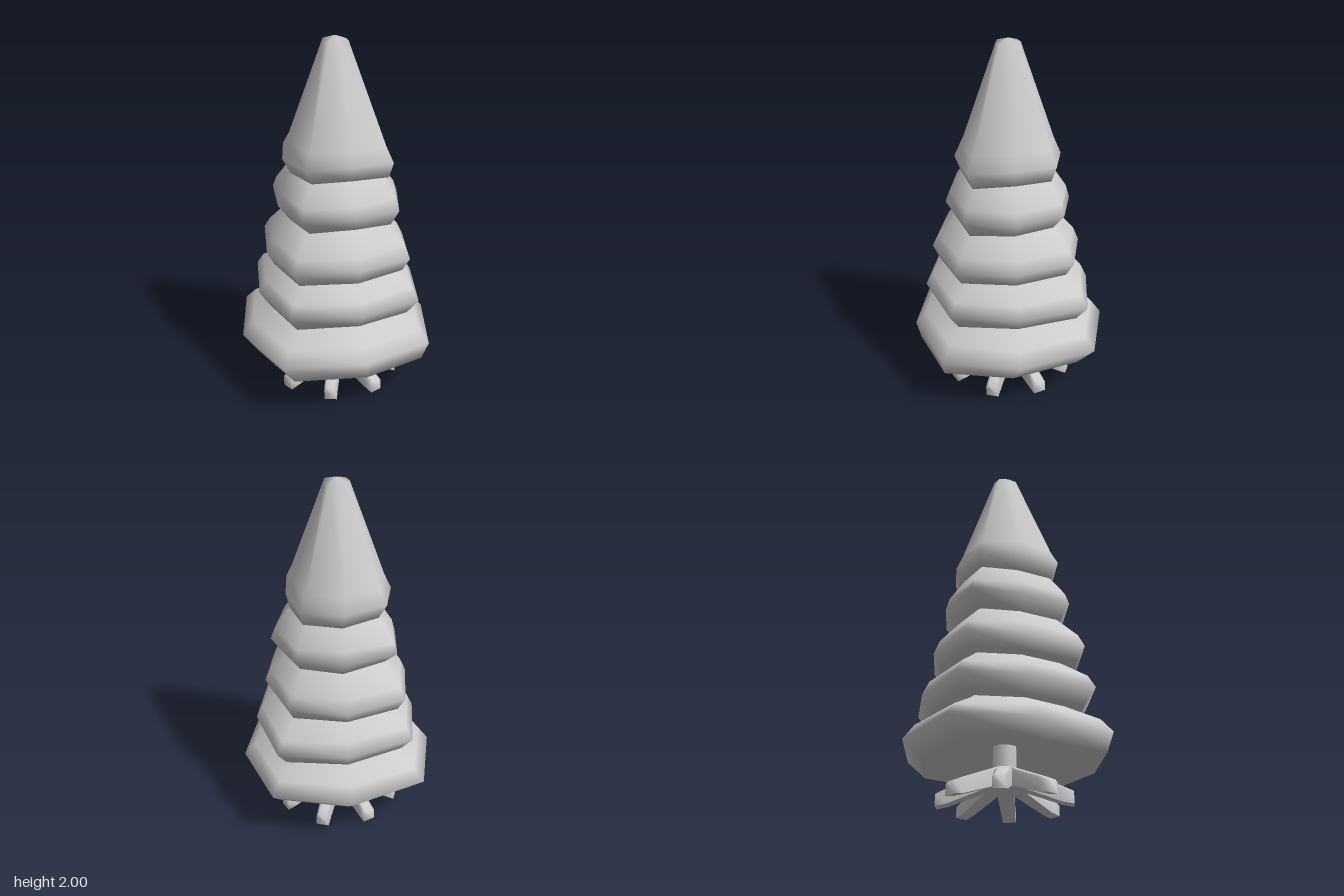
import * as THREE from 'three';

const material = new THREE.MeshStandardMaterial({ color: 0xcccccc });

function makeMesh(name, positions, indices) {
  const g = new THREE.BufferGeometry();
  g.setAttribute('position', new THREE.Float32BufferAttribute(positions, 3));
  g.setIndex(indices);
  g.computeVertexNormals();
  const mesh = new THREE.Mesh(g, material);
  mesh.name = name;
  return mesh;
}

// Eight-cornered bough layer: rim radii start at +x and turn towards +z.
// Profile rows are [scale, y, shiftX, shiftZ, yWobble], from bottom to top.
// The underside is a shallow hollow rising to the given height.
function bough(name, rim, profile, hollowY, closedTop) {
  const n = rim.length, pos = [], idx = [];
  const starts = profile.map(([s, y, dx = 0, dz = 0, wobble = 0]) => {
    const start = pos.length / 3;
    rim.forEach((r, i) => {
      const a = (i / n) * Math.PI * 2;
      pos.push(Math.cos(a) * r * s + dx, y + wobble * Math.cos(a * 3 + 1), Math.sin(a) * r * s + dz);
    });
    return start;
  });
  const cap = (start, y, up) => {
    const centre = pos.length / 3;
    pos.push(0, y, 0);
    for (let i = 0; i < n; i++) {
      const a = start + i, b = start + (i + 1) % n;
      idx.push(centre, up ? b : a, up ? a : b);
    }
  };
  for (let k = 0; k < starts.length - 1; k++) {
    for (let i = 0; i < n; i++) {
      const j = (i + 1) % n, p = starts[k], q = starts[k + 1];
      idx.push(p + i, q + i, q + j, p + i, q + j, p + j);
    }
  }
  cap(starts[0], hollowY, false);
  if (closedTop) cap(starts[starts.length - 1], 2, true);
  return makeMesh(name, pos, idx);
}

// Root: tapered bar reaching out and down from the trunk
function root(angle) {
  // Sections: [radius, half width, bottom y, top y]
  const sections = [
    [0.0, 0.036, 0.088, 0.225],
    [0.11, 0.045, 0.08, 0.178],
    [0.3, 0.036, 0.012, 0.098],
    [0.36, 0.036, 0.0, 0.07],
  ];
  const pos = [], idx = [];
  const corners = ([r, h, y0, y1]) => [
    [r, y0, -h], [r, y1 - 0.012, -h], [r, y1, -h * 0.6],
    [r, y1, h * 0.6], [r, y1 - 0.012, h], [r, y0, h],
  ];
  const c = Math.cos(angle), s = Math.sin(angle);
  const add = ([x, y, z]) => pos.push(x * c - z * s, y, x * s + z * c);
  sections.forEach((sec) => corners(sec).forEach(add));
  for (let k = 0; k < sections.length - 1; k++) {
    for (let i = 0; i < 5; i++) {
      const a = k * 6 + i, b = a + 6;
      idx.push(a, a + 1, b + 1, a, b + 1, b);
    }
  }
  // End face, shaded smoothly with the bar
  const e = (sections.length - 1) * 6;
  for (let i = 1; i < 5; i++) idx.push(e, e + i, e + i + 1);
  // Flat underside with its own corners
  const u = pos.length / 3;
  sections.forEach(([r, h, y]) => { add([r, y, -h]); add([r, y, h]); });
  for (let k = 0; k < sections.length - 1; k++) {
    const a = u + k * 2;
    idx.push(a, a + 2, a + 3, a, a + 3, a + 1);
  }
  return makeMesh('root', pos, idx);
}

export function createModel() {
  const tree = new THREE.Group();
  tree.name = 'firTree';

  // Bough layers, lowest first: name, rim radii, profile, underside height
  const layers = [
    ['lowestBoughs', [0.55, 0.592, 0.545, 0.615, 0.555, 0.608, 0.555, 0.604],
      [[0.88, 0.222, 0.01, 0.04, 0.008], [1, 0.315, 0, 0, 0.008], [0.89, 0.39], [0.6, 0.482], [0.5, 0.53]], 0.33],
    ['lowerBoughs', [0.47, 0.52, 0.475, 0.53, 0.45, 0.52, 0.46, 0.548],
      [[0.87, 0.483, 0, 0, 0.01], [1, 0.57, 0, 0, 0.008], [0.92, 0.64], [0.66, 0.73], [0.5, 0.78]], 0.51],
    ['middleBoughs', [0.41, 0.46, 0.43, 0.478, 0.4, 0.463, 0.405, 0.449],
      [[0.9, 0.737, 0, 0.005, 0.005], [1, 0.815, 0, 0, 0.01], [0.92, 0.885], [0.67, 1.0], [0.5, 1.05]], 0.76],
    ['upperBoughs', [0.37, 0.389, 0.35, 0.396, 0.33, 0.4, 0.345, 0.378],
      [[0.84, 1.005, 0.01, 0.01, 0.014], [1, 1.085, 0, 0, 0.008], [0.94, 1.15], [0.71, 1.27], [0.5, 1.32]], 1.03],
    ['crown', [0.28, 0.35, 0.295, 0.336, 0.3, 0.326, 0.29, 0.322],
      [[0.89, 1.27, 0.012, 0, 0.01], [1, 1.355, 0, 0, 0.008], [0.87, 1.435], [0.225, 1.978]], 1.29],
  ];
  layers.forEach(([name, rim, profile, hollowY], i) =>
    tree.add(bough(name, rim, profile, hollowY, i === layers.length - 1)));

  // Trunk, running up into the hollow of the lowest boughs
  const trunk = new THREE.Mesh(new THREE.CylinderGeometry(0.065, 0.068, 0.25, 8), material);
  trunk.name = 'trunk';
  trunk.position.y = 0.215;
  tree.add(trunk);

  // Eight roots, turned half a step
  const roots = new THREE.Group();
  roots.name = 'roots';
  for (let i = 0; i < 8; i++) roots.add(root((i + 0.5) * Math.PI / 4));
  tree.add(roots);

  return tree;
}
